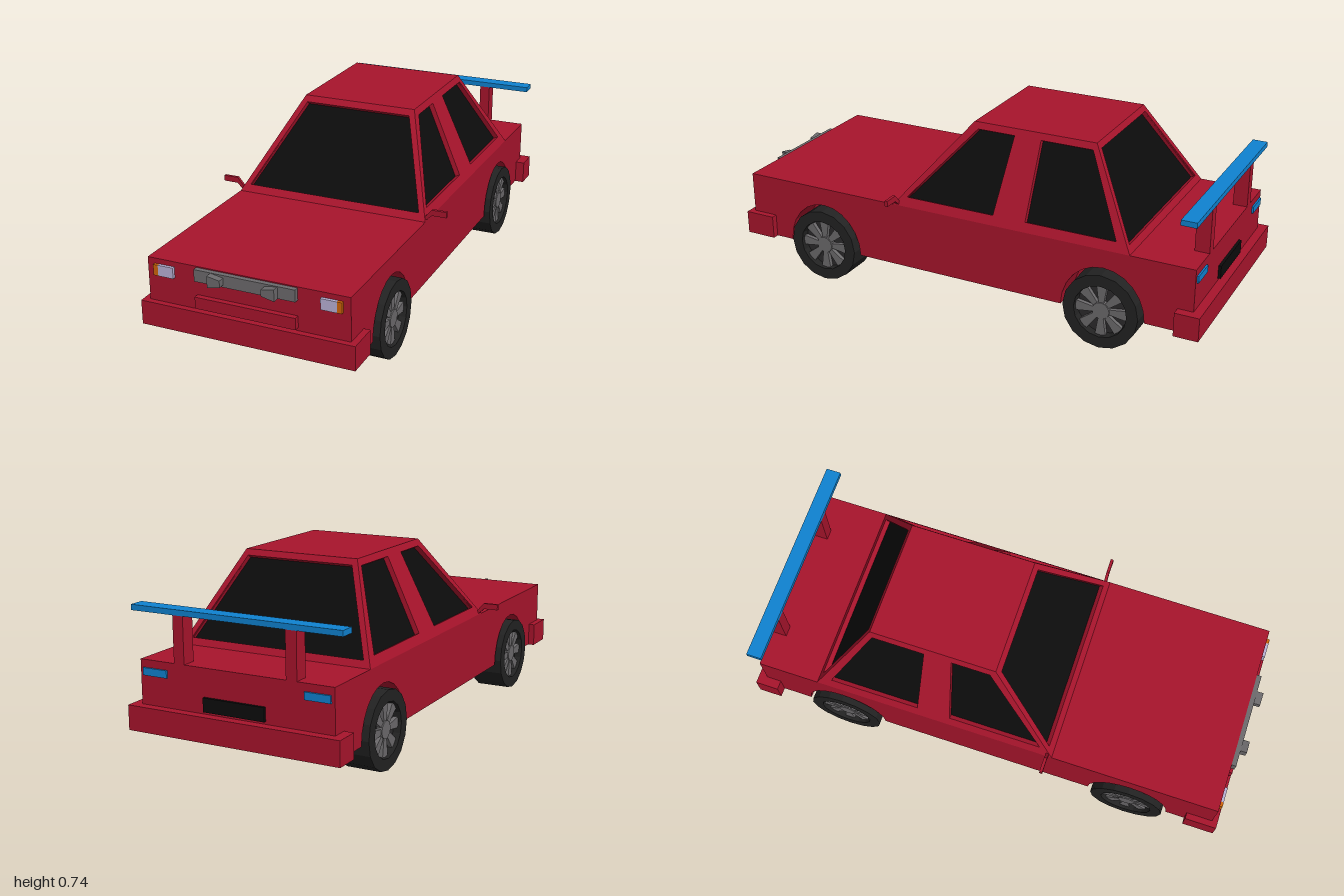
import * as THREE from 'three';

const paint = (color) => new THREE.MeshStandardMaterial({ color, flatShading: true });
const RED = paint(0xa8142c), BLACK = paint(0x0c0c0c), RUBBER = paint(0x222222), GREY = paint(0x6c6a6c);
const DARK = paint(0x2c2a2c), BLUE = paint(0x0f82d0), LAMP = paint(0xb8b0d4), ORANGE = paint(0xd06408);
const V = (x, y, z) => new THREE.Vector3(x, y, z);
const poly = (pts) => new THREE.Shape(pts.map(([x, y]) => new THREE.Vector2(x, y)));

function add(parent, name, geometry, material) {
  const mesh = new THREE.Mesh(geometry, material);
  mesh.name = name;
  parent.add(mesh);
  return mesh;
}

// Box given by its minimum and maximum corners
function box(parent, name, material, x0, x1, y0, y1, z0, z1) {
  const mesh = add(parent, name, new THREE.BoxGeometry(x1 - x0, y1 - y0, z1 - z0), material);
  mesh.position.set((x0 + x1) / 2, (y0 + y1) / 2, (z0 + z1) / 2);
  return mesh;
}

// Extrude a shape and lay it along three chosen axes, keeping faces outward
function slab(shape, depth, X, Y, Z, origin) {
  const geo = new THREE.ExtrudeGeometry(shape, { depth, bevelEnabled: false });
  const m = new THREE.Matrix4().makeBasis(X, Y, Z).setPosition(origin);
  geo.applyMatrix4(m);
  if (m.determinant() < 0) {
    const p = geo.attributes.position, a = V(0, 0, 0), b = V(0, 0, 0);
    for (let i = 0; i < p.count; i += 3) {
      a.fromBufferAttribute(p, i);
      b.fromBufferAttribute(p, i + 1);
      p.setXYZ(i, b.x, b.y, b.z);
      p.setXYZ(i + 1, a.x, a.y, a.z);
    }
  }
  geo.computeVertexNormals();
  return geo;
}

// Cabin wall with window openings and glass set back in them
function wall(parent, name, outline, windows, X, Y, origin) {
  const inward = X.clone().cross(Y).normalize();
  if (inward.dot(V(0, 0.4, -0.22).sub(origin)) < 0) inward.negate();
  const frame = poly(outline);
  frame.holes = windows.map(poly);
  add(parent, name + 'Frame', slab(frame, 0.024, X, Y, inward, origin), RED);
  for (const w of windows) {
    const at = origin.clone().addScaledVector(inward, 0.02);
    add(parent, name + 'Glass', slab(poly(w), 0.004, X, Y, inward, at), BLACK);
  }
}

// Wheel with its axle along z, outer face towards +z
function makeWheel() {
  const wheel = new THREE.Group();
  const profile = [[0, -0.0675], [0.15, -0.0675], [0.15, 0.0675], [0.105, 0.0675], [0.1, 0.035], [0, 0.035]];
  const tyre = new THREE.LatheGeometry(profile.map(([r, y]) => new THREE.Vector2(r, y)), 16);
  add(wheel, 'tyre', tyre.rotateX(Math.PI / 2), RUBBER);
  const rim = add(wheel, 'rimDisc', new THREE.CylinderGeometry(0.1, 0.1, 0.006, 16).rotateX(Math.PI / 2), DARK);
  rim.position.z = 0.036;
  const spoke = new THREE.ExtrudeGeometry(
    poly([[0.03, -0.01], [0.102, -0.021], [0.102, 0.021], [0.03, 0.01]]), { depth: 0.018, bevelEnabled: false });
  for (let i = 0; i < 8; i++) {
    const s = add(wheel, 'spoke', spoke, GREY);
    s.position.z = 0.037;
    s.rotation.z = (i * Math.PI) / 4;
  }
  const hub = add(wheel, 'hub', new THREE.CylinderGeometry(0.034, 0.038, 0.024, 12).rotateX(Math.PI / 2), GREY);
  hub.position.z = 0.047;
  return wheel;
}

export function createModel() {
  const car = new THREE.Group();
  car.name = 'car';
  const floor = 0.135, deck = 0.395, axles = [-0.615, 0.605];

  // Lower body: a centre box and two flanks with wheel arches cut out
  box(car, 'bodyCentre', RED, -0.27, 0.27, floor, deck, -0.965, 0.955);
  const flank = [[0.955, deck], [-0.965, deck], [-0.965, floor]];
  for (const z of axles) {
    for (let i = 0; i <= 12; i++) {
      const a = Math.PI * (1 - i / 12);
      flank.push([z + 0.167 * Math.cos(a), floor + 0.187 * Math.sin(a)]);
    }
  }
  flank.push([0.955, floor]);

  // Cabin walls, heights measured from the deck
  const rise = 0.34, frontZ = 0.275, backZ = -0.715, roofFront = -0.005, roofBack = -0.51;
  const cabin = new THREE.Group();
  cabin.name = 'cabin';
  car.add(cabin);
  const endOutline = [[-0.395, 0], [0.395, 0], [0.235, rise], [-0.235, rise]];
  const endWindow = [[-0.36, 0.025], [0.36, 0.025], [0.22, 0.318], [-0.22, 0.318]];
  wall(cabin, 'windscreen', endOutline, [endWindow], V(1, 0, 0), V(0, 1, (roofFront - frontZ) / rise), V(0, deck, frontZ));
  wall(cabin, 'rearWindow', endOutline, [endWindow], V(1, 0, 0), V(0, 1, (roofBack - backZ) / rise), V(0, deck, backZ));
  const sideOutline = [[frontZ, 0], [roofFront, rise], [roofBack, rise], [backZ, 0]];
  const sideWindows = [
    [[0.22, 0.035], [-0.025, 0.315], [-0.18, 0.315], [-0.155, 0.035]],
    [[-0.29, 0.035], [-0.29, 0.315], [-0.5, 0.315], [-0.655, 0.035]],
  ];
  box(cabin, 'roof', RED, -0.235, 0.235, deck + rise - 0.015, deck + rise, roofBack, roofFront);

  const mirrorShape = poly([[0.475, 0.443], [0.415, 0.443], [0.378, 0.4], [0.39, 0.395], [0.417, 0.42], [0.475, 0.42]]);
  const lampShape = poly([[0.08, 0.355], [0.13, 0.345], [0.13, 0.39], [0.08, 0.381]]);
  for (const s of [1, -1]) {
    const side = s > 0 ? 'left' : 'right';
    const span = (a, b) => (s > 0 ? [a, b] : [-b, -a]);
    add(car, side + 'Flank', slab(poly(flank), 0.125, V(0, 0, 1), V(0, 1, 0), V(s, 0, 0), V(s * 0.27, 0, 0)), RED);
    wall(cabin, side + 'Side', sideOutline, sideWindows, V(0, 0, 1), V((-s * 0.16) / rise, 1, 0), V(s * 0.395, deck, 0));
    add(car, side + 'Mirror', slab(mirrorShape, 0.012, V(s, 0, 0), V(0, 1, 0), V(0, 0, 1), V(0, 0, 0.25)), RED);
    add(car, side + 'FogLamp', slab(lampShape, 0.03, V(s, 0, 0), V(0, 1, 0), V(0, 0, 1), V(0, 0, 0.97)), GREY);
    box(car, side + 'Headlight', LAMP, ...span(0.287, 0.348), 0.333, 0.375, 0.945, 0.967);
    box(car, side + 'Indicator', ORANGE, ...span(0.348, 0.367), 0.333, 0.375, 0.945, 0.967);
    box(car, side + 'TailLight', BLUE, ...span(0.28, 0.382), 0.338, 0.366, -0.972, -0.955);
    box(car, side + 'SpoilerPost', RED, ...span(0.207, 0.25), 0.38, 0.575, -0.965, -0.908);
    for (const z of axles) {
      const wheel = makeWheel();
      wheel.name = side + (z > 0 ? 'FrontWheel' : 'RearWheel');
      wheel.position.set(s * 0.3475, 0.15, z);
      wheel.rotation.y = (s * Math.PI) / 2;
      car.add(wheel);
    }
  }

  // Bumpers, grille and number plates
  box(car, 'frontBumper', RED, -0.42, 0.42, floor - 0.001, 0.228, 0.85, 0.978);
  box(car, 'rearBumper', RED, -0.432, 0.432, floor - 0.001, 0.228, -1, -0.905);
  box(car, 'grille', GREY, -0.197, 0.197, 0.345, 0.391, 0.945, 0.974);
  box(car, 'frontPlate', RED, -0.197, 0.197, 0.24, 0.285, 0.945, 0.976);
  box(car, 'rearPlate', BLACK, -0.125, 0.125, 0.238, 0.29, -0.976, -0.955);

  // Spoiler wing, hollow underneath
  box(car, 'wingTop', BLUE, -0.427, 0.427, 0.582, 0.59, -0.967, -0.907);
  const rim = poly([[-0.427, 0.907], [0.427, 0.907], [0.427, 0.967], [-0.427, 0.967]]);
  rim.holes = [poly([[-0.412, 0.92], [0.412, 0.92], [0.412, 0.954], [-0.412, 0.954]])];
  add(car, 'wingRim', slab(rim, 0.013, V(1, 0, 0), V(0, 0, -1), V(0, 1, 0), V(0, 0.569, 0)), BLUE);
  return car;
}
